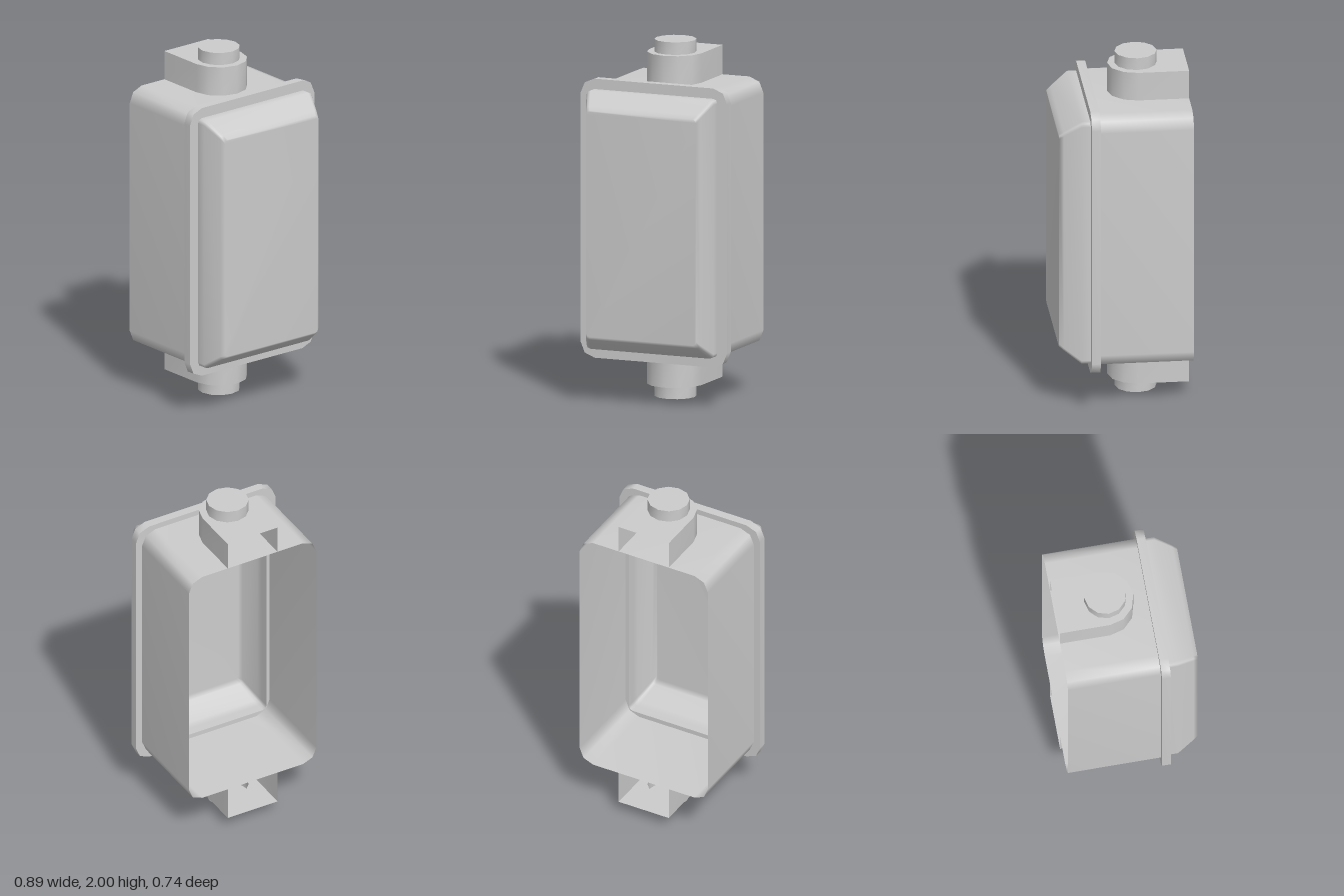
import * as THREE from 'three';

const material = new THREE.MeshStandardMaterial({ color: 0xcccccc, side: THREE.DoubleSide });

// Rounded rectangle outline, counter-clockwise, two segments per corner
function roundedRect(hx, hy, r) {
  const points = [];
  for (let corner = 0; corner < 4; corner++) {
    const sx = corner === 0 || corner === 3 ? 1 : -1;
    const sy = corner < 2 ? 1 : -1;
    for (let i = 0; i <= 2; i++) {
      const a = (corner + i / 2) * Math.PI / 2;
      points.push(new THREE.Vector2(sx * (hx - r) + r * Math.cos(a), sy * (hy - r) + r * Math.sin(a)));
    }
  }
  return points;
}

// Smooth skin through outlines stacked along z; optionally capped at the last one
function loft(rings, { closed = true, cap = false } = {}) {
  const n = rings[0].points.length;
  const positions = [], index = [];
  for (const { points, z } of rings) for (const p of points) positions.push(p.x, p.y, z);
  for (let k = 0; k < rings.length - 1; k++) {
    for (let i = 0; i < (closed ? n : n - 1); i++) {
      const a = k * n + i, b = k * n + (i + 1) % n;
      index.push(a, b, b + n, a, b + n, a + n);
    }
  }
  if (cap) {
    const start = (rings.length - 1) * n;
    for (let i = 1; i < n - 1; i++) index.push(start, start + i, start + i + 1);
  }
  const geometry = new THREE.BufferGeometry();
  geometry.setAttribute('position', new THREE.Float32BufferAttribute(positions, 3));
  geometry.setIndex(index);
  geometry.computeVertexNormals();
  return geometry;
}

// Flat plate with an optional hole
function plate(outline, hole, z) {
  const shape = new THREE.Shape(outline);
  if (hole) shape.holes.push(new THREE.Path(hole));
  return new THREE.ShapeGeometry(shape).translate(0, 0, z);
}

function add(parent, name, geometry) {
  const mesh = new THREE.Mesh(geometry, material);
  mesh.name = name;
  parent.add(mesh);
  return mesh;
}

// Points on a twelve-sided circle
function arc(r, cy, from, to) {
  const points = [];
  for (let i = from; i <= to; i++) {
    const a = i * Math.PI / 6;
    points.push(new THREE.Vector2(r * Math.cos(a), cy + r * Math.sin(a)));
  }
  return points;
}

// Hollow U-shaped hub with a capped stub, built along z and then stood upright
function conduitHub(name, base) {
  const hub = new THREE.Group();
  hub.name = name;
  const cy = 0.09, back = 0.37, top = 0.93;
  const outline = [new THREE.Vector2(-0.158, back), ...arc(0.158, cy, 6, 12), new THREE.Vector2(0.158, back)];
  const circle = arc(0.117, cy, 0, 11);
  add(hub, 'hubWall', loft([{ points: outline, z: base }, { points: outline, z: top }], { closed: false }));
  add(hub, 'hubPlate', plate(outline, circle, top));
  add(hub, 'stubWall', loft([{ points: circle, z: top }, { points: circle, z: 1 }]));
  add(hub, 'stubCap', plate(circle, null, 1));
  for (const mesh of hub.children) mesh.geometry.rotateX(-Math.PI / 2);
  hub.position.y = 1;
  return hub;
}

export function createModel() {
  const model = new THREE.Group();
  model.name = 'enclosure';
  const housing = new THREE.Group();
  housing.name = 'housing';
  housing.position.y = 1.015;
  model.add(housing);

  // Box body, open at the back
  const body = roundedRect(0.405, 0.75, 0.085);
  add(housing, 'body', loft([{ points: body, z: -0.37 }, { points: body, z: 0.15 }]));

  // Flange ring
  const rim = roundedRect(0.443, 0.782, 0.085);
  const opening = roundedRect(0.385, 0.724, 0.025);
  add(housing, 'flangeRim', loft([{ points: rim, z: 0.15 }, { points: rim, z: 0.2 }]));
  add(housing, 'flangeInnerWall', loft([{ points: opening, z: 0.2 }, { points: opening, z: 0.15 }]));
  add(housing, 'flangeFront', plate(rim, opening, 0.2));
  const flangeBack = plate(rim, opening, 0).rotateY(Math.PI).translate(0, 0, 0.15);
  add(housing, 'flangeBack', flangeBack);

  // Raised cover with bevelled sides
  add(housing, 'cover', loft([
    { points: opening, z: 0.2 },
    { points: opening, z: 0.25 },
    { points: roundedRect(0.345, 0.654, 0.02), z: 0.345 },
    { points: roundedRect(0.332, 0.634, 0.02), z: 0.37 },
  ], { cap: true }));

  // Conduit hubs at top and bottom
  model.add(conduitHub('topHub', 0.765));
  const bottomHub = conduitHub('bottomHub', 0.735);
  bottomHub.rotation.z = Math.PI;
  model.add(bottomHub);
  return model;
}
